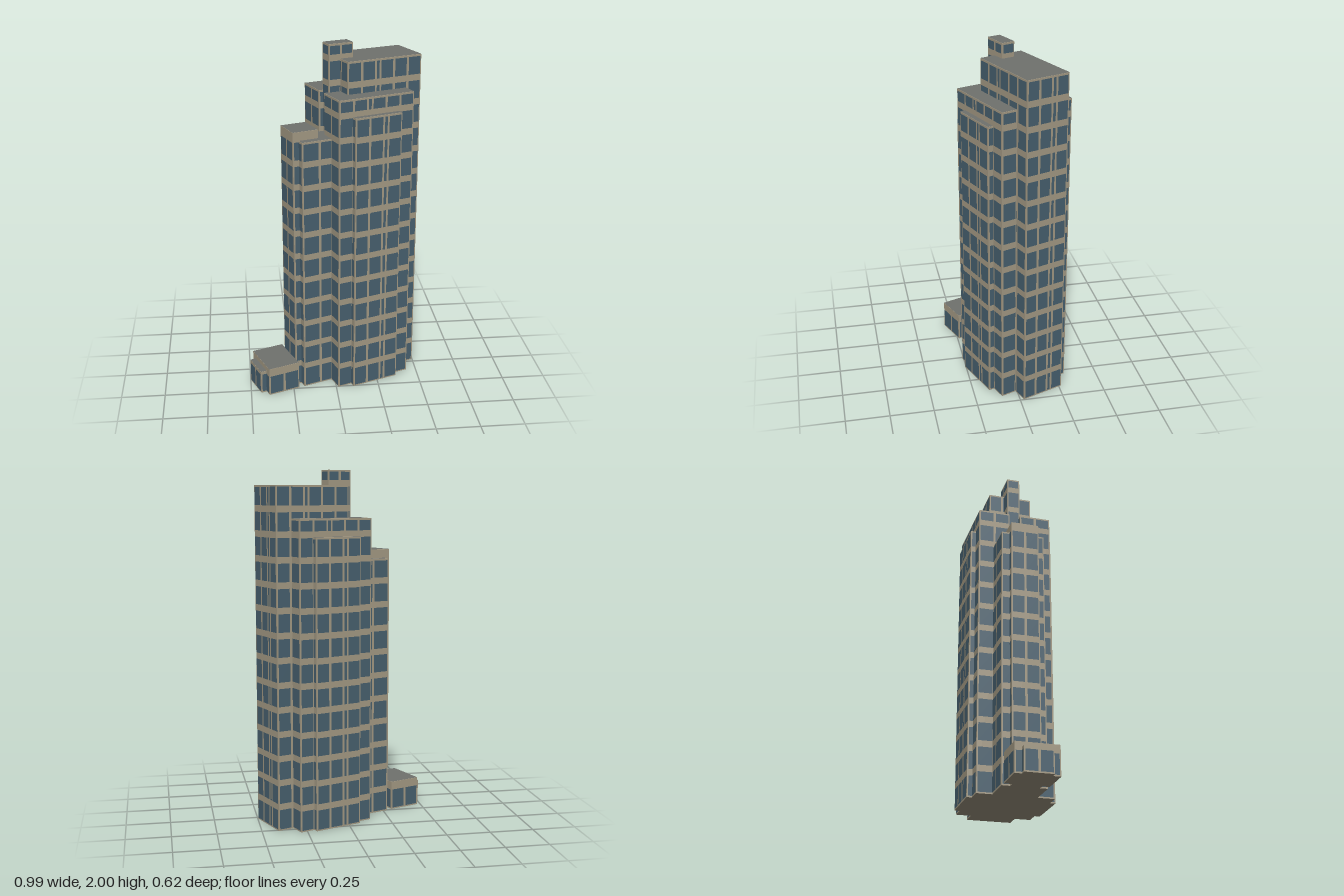
import * as THREE from 'three';
import { mergeGeometries } from 'three/addons/utils/BufferGeometryUtils.js';

const FLOOR = 0.1375;   // storey height
const BAND = 0.036;     // masonry band between storeys
const PIER = 0.014;     // masonry pier between windows
const BAY = 0.085;      // window bay width
const SLOT = 0.026;     // narrow slot window bay

// Masses in the tower's own axes: name, x0, x1, z0, z1, height
const MASSES = [
  ['mainTower', 0.018, 0.473, -0.103, 0.154, 1.915],
  ['backWing', -0.078, 0.379, -0.19, -0.005, 1.735],
  ['frontWing', -0.078, 0.379, 0.061, 0.245, 1.735],
  ['backBay', 0.01, 0.293, -0.219, -0.15, 1.635],
  ['frontBay', 0.006, 0.29, 0.2, 0.276, 1.635],
  ['liftTower', -0.052, 0.093, -0.011, 0.065, 2.0],
  ['sideBlock', -0.254, -0.045, -0.101, 0.149, 1.5],
  ['sideBlockCore', -0.29, -0.14, -0.054, 0.107, 1.55],
  ['entranceHall', -0.477, -0.289, -0.096, 0.148, 0.167],
  ['entrancePorch', -0.511, -0.47, -0.056, 0.104, 0.137],
];

// Window spans [start, end] along a wall, with one slot after the second bay on wide walls
function windowSpans(width) {
  const slot = width > 0.23;
  const n = Math.max(1, Math.round((width - (slot ? SLOT : 0)) / BAY));
  const bay = (width - (slot ? SLOT : 0)) / n;
  const spans = [];
  let s = 0;
  for (let i = 0; i < n; i++) {
    if (slot && i === 2) {
      spans.push([s + 0.005, s + SLOT - 0.005]);
      s += SLOT;
    }
    spans.push([s + PIER / 2, s + bay - PIER / 2]);
    s += bay;
  }
  return spans;
}

// Window heights [bottom, top] up a wall
function windowRows(height) {
  const rows = [];
  for (let i = 0; i * FLOOR < height; i++) {
    const y0 = i === 0 ? 0.008 : i * FLOOR + BAND / 2;
    const y1 = Math.min((i + 1) * FLOOR - BAND / 2, height - 0.01);
    if (y1 - y0 > 0.012) rows.push([y0, y1]);
  }
  return rows;
}

// Thin glass panes for all four walls of a block
function glazing(w, d, h) {
  const panes = [];
  for (let side = 0; side < 4; side++) {
    const width = side % 2 ? d : w;
    const depth = side % 2 ? w : d;
    for (const [s0, s1] of windowSpans(width)) {
      for (const [y0, y1] of windowRows(h)) {
        const pane = new THREE.PlaneGeometry(s1 - s0, y1 - y0);
        pane.translate((s0 + s1) / 2 - width / 2, (y0 + y1) / 2, depth / 2 + 0.0015);
        pane.rotateY(side * Math.PI / 2);
        panes.push(pane);
      }
    }
  }
  return mergeGeometries(panes);
}

export function createModel() {
  const material = (name, color) => {
    const m = new THREE.MeshStandardMaterial({ color });
    m.name = name;
    return m;
  };
  const masonry = material('masonry', 0xa59b85);
  const glass = material('glass', 0x486170);
  const roofing = material('roofing', 0x70726e);

  const model = new THREE.Group();
  model.name = 'steppedTower';
  const building = new THREE.Group();
  building.name = 'building';
  building.rotation.y = THREE.MathUtils.degToRad(20.7);
  model.add(building);

  for (const [name, x0, x1, z0, z1, h] of MASSES) {
    const w = x1 - x0, d = z1 - z0;
    const block = new THREE.Group();
    block.name = name;
    block.position.set((x0 + x1) / 2, 0, (z0 + z1) / 2);

    // Masonry walls
    const walls = new THREE.Mesh(new THREE.BoxGeometry(w, h, d).translate(0, h / 2, 0), masonry);
    walls.name = name + 'Walls';

    // Window panes
    const windows = new THREE.Mesh(glazing(w, d, h), glass);
    windows.name = name + 'Windows';

    // Flat roof
    const roof = new THREE.Mesh(
      new THREE.PlaneGeometry(w, d).rotateX(-Math.PI / 2).translate(0, h + 0.0015, 0), roofing);
    roof.name = name + 'Roof';

    block.add(walls, windows, roof);
    building.add(block);
  }
  return model;
}
